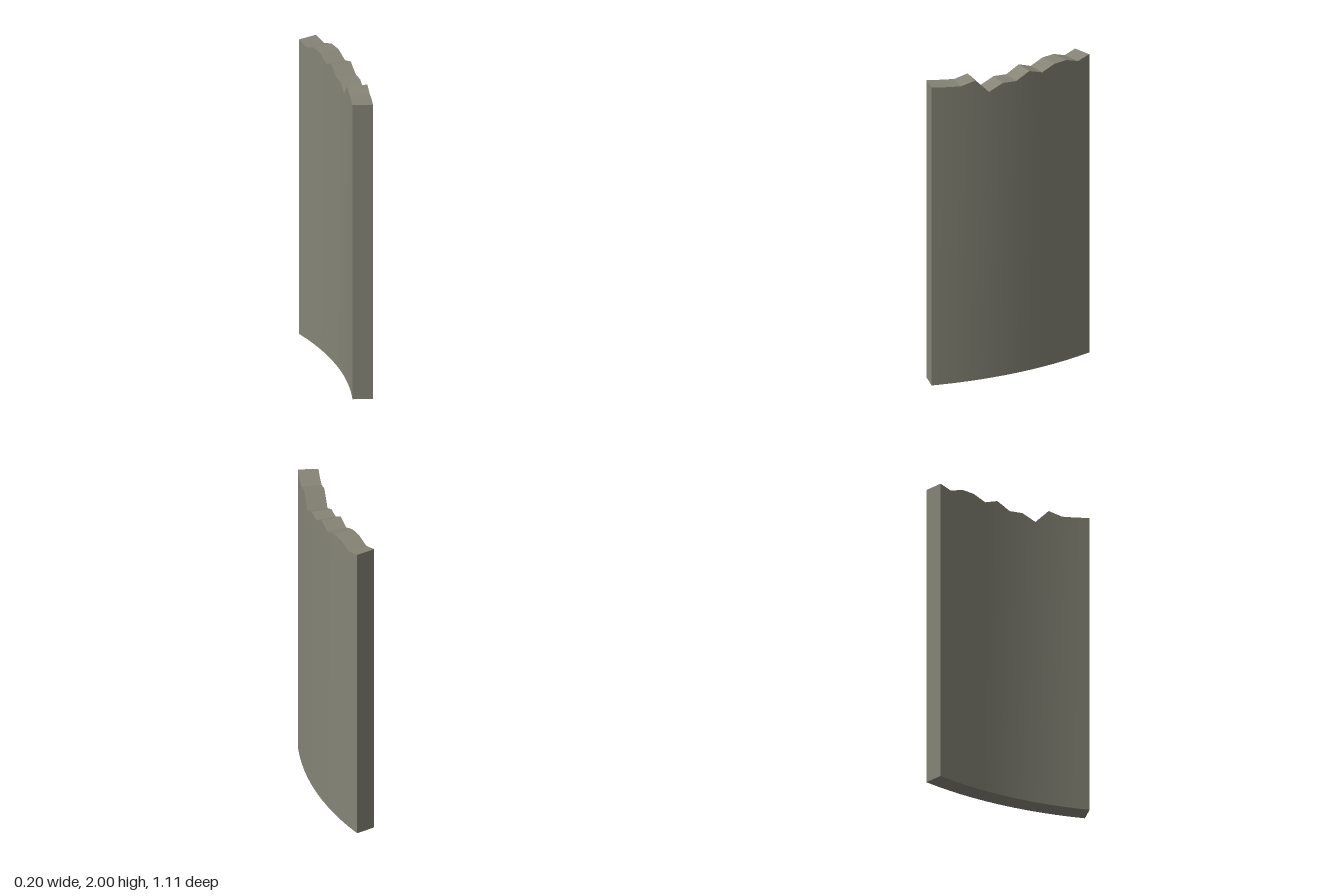
import * as THREE from 'three';
import { toCreasedNormals } from 'three/addons/utils/BufferGeometryUtils.js';

const INNER_RADIUS = 2.017;
const THICKNESS = 0.127;
const HALF_ANGLE = THREE.MathUtils.degToRad(15);
const CENTRE_X = -2.047;

// Height of the broken top edge at each step, from back (-z) to front (+z)
const TOP_HEIGHTS = [1.988, 1.968, 2.0, 1.998, 1.963, 1.993, 1.945, 1.95, 1.907, 1.997, 1.972, 1.978, 1.985];

export function createModel() {
  const group = new THREE.Group();
  group.name = 'curvedWall';

  const stone = new THREE.MeshStandardMaterial({ color: 0x858476 });
  stone.name = 'grey stone';

  // Bend a segmented unit box around the arc and give its top the jagged outline
  const steps = TOP_HEIGHTS.length - 1;
  const box = new THREE.BoxGeometry(1, 1, 1, 1, 1, steps);
  const pos = box.attributes.position;
  for (let i = 0; i < pos.count; i++) {
    const step = Math.round((pos.getZ(i) + 0.5) * steps);
    const angle = (step / steps * 2 - 1) * HALF_ANGLE;
    const radius = INNER_RADIUS + (pos.getX(i) + 0.5) * THICKNESS;
    const y = pos.getY(i) > 0 ? TOP_HEIGHTS[step] : 0;
    pos.setXYZ(i, CENTRE_X + radius * Math.cos(angle), y, radius * Math.sin(angle));
  }

  // Smooth along the curve, sharp at the corners and the broken top
  const wall = new THREE.Mesh(toCreasedNormals(box, 0.05), stone);
  wall.name = 'wallPanel';
  group.add(wall);
  return group;
}
